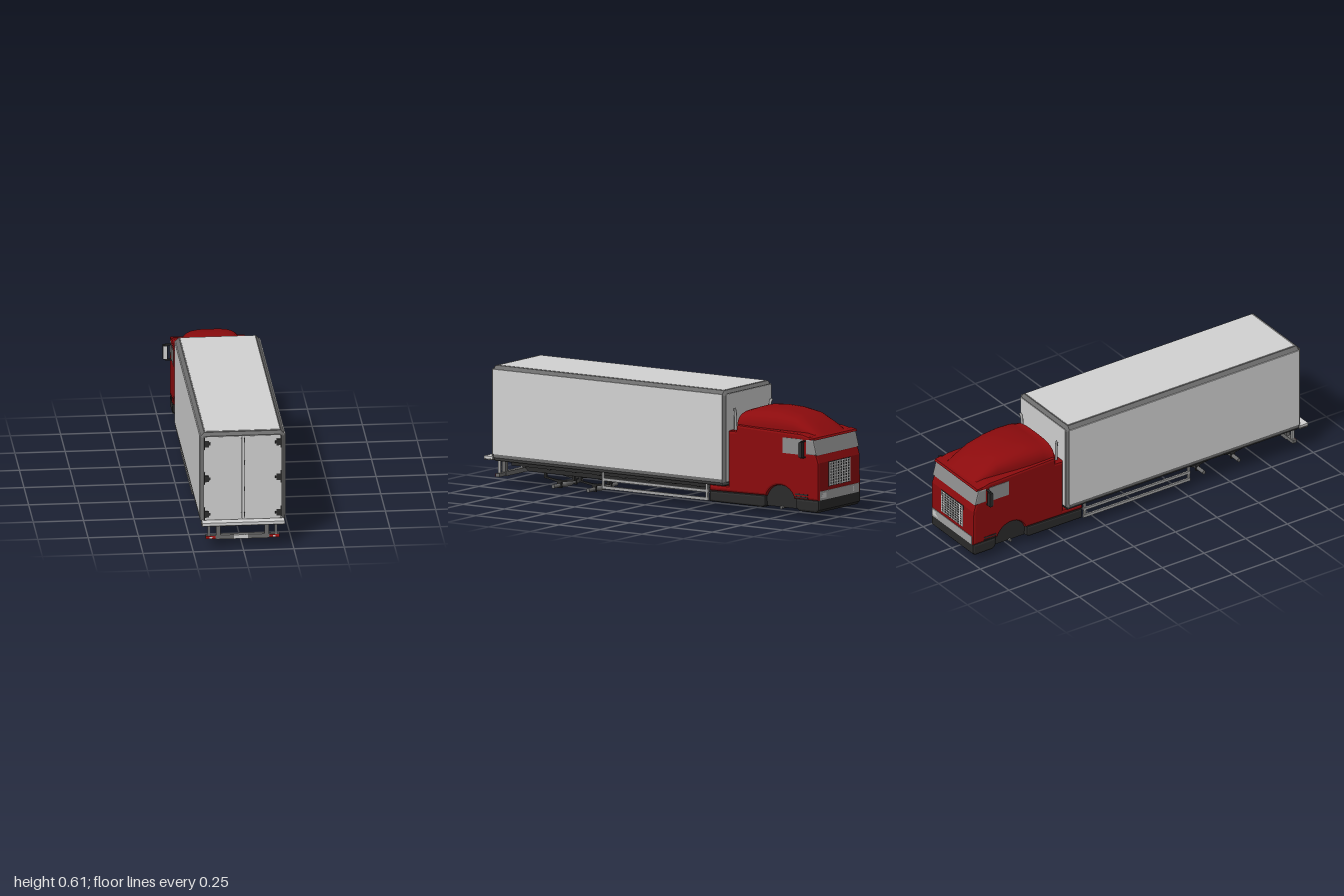
import * as THREE from 'three';

const mat = (name, color, side = THREE.FrontSide) => {
  const m = new THREE.MeshStandardMaterial({ color, side });
  m.name = name;
  return m;
};

export function createModel() {
  const red = mat('cab red', 0x8c0b0d, THREE.DoubleSide);
  const panel = mat('panel light grey', 0xd2d2d2);
  const frame = mat('frame grey', 0x6c6c6c);
  const dark = mat('chassis black', 0x2b2b2b);
  const glass = mat('glass grey', 0x8c8c8c);
  const metal = mat('metal grey', 0xa4a4a4);
  const lamp = mat('lamp red', 0xa81414);

  const model = new THREE.Group();
  model.name = 'boxTruck';

  const add = (name, geo, material) => {
    const m = new THREE.Mesh(geo, material);
    m.name = name;
    model.add(m);
    return m;
  };
  // Box given by its limits on each axis
  const box = (name, material, [x0, x1], [y0, y1], [z0, z1]) => {
    const g = new THREE.BoxGeometry(x1 - x0, y1 - y0, z1 - z0);
    return add(name, g.translate((x0 + x1) / 2, (y0 + y1) / 2, (z0 + z1) / 2), material);
  };
  // The same box on both sides of the centre line
  const pair = (name, material, [x0, x1], y, z) => {
    box(name + 'Left', material, [x0, x1], y, z);
    box(name + 'Right', material, [-x1, -x0], y, z);
  };
  // Side profile (z, y) extruded across the width, with bevelled flanks
  const slab = (name, material, shape, half, bevel) => {
    const g = new THREE.ExtrudeGeometry(shape, {
      depth: 2 * (half - bevel), curveSegments: 20, bevelEnabled: bevel > 0,
      bevelSize: bevel, bevelThickness: bevel, bevelOffset: -bevel, bevelSegments: 2,
    });
    return add(name, g.translate(0, 0, bevel - half).rotateY(-Math.PI / 2), material);
  };
  const poly = (pts) => new THREE.Shape(pts.map(([a, b]) => new THREE.Vector2(a, b)));
  const rodX = (name, material, r, x0, x1, y, z) =>
    add(name, new THREE.CylinderGeometry(r, r, x1 - x0, 12).rotateZ(Math.PI / 2)
      .translate((x0 + x1) / 2, y, z), material);

  // ---- Cargo box: chamfered frame with inset-looking panels
  const section = poly([[-0.197, 0.13], [0.197, 0.13], [0.211, 0.145], [0.211, 0.585],
    [0.191, 0.605], [-0.191, 0.605], [-0.211, 0.585], [-0.211, 0.145]]);
  const c = 0.015;
  add('cargoFrame', new THREE.ExtrudeGeometry(section, {
    depth: 1.405 - 2 * c, bevelEnabled: true, bevelSize: c, bevelThickness: c, bevelOffset: -c, bevelSegments: 1,
  }).translate(0, 0, -0.45 + c), frame);
  pair('cargoSidePanel', panel, [0.208, 0.213], [0.162, 0.588], [-0.438, 0.943]);
  box('roofPanel', panel, [-0.185, 0.185], [0.602, 0.607], [-0.43, 0.928]);
  box('cargoNosePanel', panel, [-0.195, 0.195], [0.152, 0.588], [-0.453, -0.448]);

  // ---- Rear doors, lock rods and hinges
  pair('rearDoor', panel, [0.001, 0.196], [0.15, 0.586], [0.952, 0.957]);
  pair('doorSeam', dark, [0.0065, 0.0085], [0.155, 0.584], [0.956, 0.959]);
  pair('doorEdge', dark, [0.192, 0.1935], [0.16, 0.584], [0.956, 0.958]);
  for (const y of [0.18, 0.367, 0.55]) {
    pair('hingeLeaf', dark, [0.168, 0.188], [y - 0.017, y + 0.017], [0.956, 0.96]);
    pair('hingePin', dark, [0.188, 0.192], [y - 0.03, y + 0.035], [0.956, 0.961]);
    pair('hingeTongue', dark, [0.161, 0.168], [y - 0.007, y + 0.007], [0.956, 0.96]);
  }
  for (const y of [0.175, 0.31, 0.445, 0.565])
    pair('rodBracket', dark, [0.006, 0.01], [y - 0.011, y + 0.011], [0.956, 0.961]);

  // ---- Rear step and underrun bumper
  box('rearStep', panel, [-0.205, 0.205], [0.135, 0.148], [0.95, 1]);
  box('rearStepEdge', frame, [-0.207, 0.207], [0.13, 0.136], [0.948, 0.998]);
  box('rearBumper', frame, [-0.13, 0.13], [0.042, 0.064], [0.92, 0.945]);
  pair('bumperEnd', frame, [0.13, 0.184], [0.044, 0.062], [0.922, 0.943]);
  pair('bumperPost', frame, [0.11, 0.131], [0.06, 0.132], [0.922, 0.943]);
  pair('bumperStay', metal, [0.161, 0.172], [0.06, 0.132], [0.925, 0.94]);
  pair('tailLamp', lamp, [0.134, 0.182], [0.046, 0.06], [0.942, 0.947]);
  pair('lampLens', panel, [0.15, 0.164], [0.05, 0.056], [0.946, 0.949]);
  box('rearPlate', panel, [-0.044, 0.027], [0.044, 0.064], [0.944, 0.949]);

  // ---- Chassis rails and floor
  const rail = poly([[-0.6, 0.07], [-0.6, 0.135], [0.89, 0.135], [0.82, 0.07]]);
  for (const x of [-0.07, 0.07]) slab('chassisRail', dark, rail, 0.012, 0).position.x = x;
  box('floor', dark, [-0.195, 0.195], [0.127, 0.131], [-0.44, 0.94]);
  pair('outerRail', dark, [0.14, 0.155], [0.105, 0.13], [-0.55, 0.87]);
  for (let i = 0; i < 9; i++) {
    const z = -0.4 + i * 0.15;
    box('crossMember', dark, [-0.15, 0.15], [0.1, 0.13], [z - 0.008, z + 0.008]);
  }

  // ---- Two rear axles with springs and hangers
  for (const z of [0.43, 0.64]) {
    rodX('axleTube', frame, 0.01, -0.125, 0.125, 0.015, z);
    rodX('differential', frame, 0.015, -0.03, 0.03, 0.015, z);
    for (const s of [-1, 1]) {
      const cone = new THREE.CylinderGeometry(0.01, 0.015, 0.016, 12).rotateZ(-s * Math.PI / 2);
      add('differentialTaper', cone.translate(s * 0.038, 0.015, z), frame);
      const spring = poly([[z - 0.09, 0.052], [z - 0.09, 0.044], [z - 0.02, 0.032],
        [z + 0.02, 0.032], [z + 0.09, 0.044], [z + 0.09, 0.052], [z, 0.04]]);
      slab('leafSpring', dark, spring, 0.005, 0).position.x = s * 0.067;
      for (const e of [-0.085, 0.085])
        box('springHanger', dark, [s * 0.067 - 0.006, s * 0.067 + 0.006], [0.045, 0.13], [z + e - 0.007, z + e + 0.007]);
      box('axleClamp', dark, [s * 0.067 - 0.005, s * 0.067 + 0.005], [0.002, 0.042], [z - 0.012, z + 0.012]);
    }
  }

  // ---- Side guards
  for (const [y0, y1] of [[0.045, 0.06], [0.086, 0.1]])
    pair('guardRail', metal, [0.183, 0.193], [y0, y1], [-0.34, 0.3]);
  for (const z of [-0.33, 0.295])
    pair('guardPost', metal, [0.18, 0.191], [0.045, 0.135], [z - 0.006, z + 0.006]);

  // ---- Cab shell with wheel arch
  const cab = poly([[-0.34, 0.095], [-0.34, 0.126], [-0.455, 0.126], [-0.455, 0.405], [-0.5, 0.407],
    [-0.505, 0.44], [-0.9, 0.428], [-0.962, 0.412], [-0.985, 0.322], [-0.996, 0.29], [-0.998, 0.1], [-0.85, 0.1]]);
  const a = Math.asin(1 / 3);
  cab.absarc(-0.765, 0.07, 0.09, Math.PI - a, a, true);
  slab('cabShell', red, cab, 0.185, 0.012);

  // Wheel well filling and dark lower skirt
  const well = new THREE.Shape();
  well.absarc(-0.765, 0.07, 0.092, 0, Math.PI, false);
  slab('wheelWell', dark, well, 0.165, 0);
  slab('cabUnderbody', dark, poly([[-0.36, 0.048], [-0.36, 0.11], [-0.98, 0.11], [-0.98, 0.048]]), 0.16, 0);
  slab('rearSkirt', dark, poly([[-0.34, 0.04], [-0.34, 0.094], [-0.675, 0.1], [-0.675, 0.05], [-0.66, 0.04]]), 0.182, 0.01);
  slab('frontBumper', dark, poly([[-0.86, 0.055], [-0.855, 0.104], [-0.999, 0.104], [-0.999, 0.055],
    [-0.985, 0.04], [-0.88, 0.04]]), 0.184, 0.012);
  rodX('frontAxle', frame, 0.008, -0.172, 0.172, 0.048, -0.765);

  // ---- Roof fairing: rounded arches lofted along z [z, halfWidth, baseY, topY]
  const arches = [[-0.5, 0.17, 0.42, 0.5], [-0.56, 0.171, 0.42, 0.519], [-0.64, 0.168, 0.42, 0.524],
    [-0.72, 0.16, 0.42, 0.521], [-0.82, 0.145, 0.42, 0.505], [-0.9, 0.135, 0.415, 0.461], [-0.96, 0.125, 0.405, 0.415]];
  const n = 20, pos = [], idx = [];
  const power = (v, e) => Math.sign(v) * Math.abs(v) ** e;
  arches.forEach(([z, w, y0, y1], r) => {
    for (let i = 0; i <= n; i++) {
      const t = Math.PI * i / n;
      pos.push(w * power(Math.cos(t), 0.6), y0 + (y1 - y0) * power(Math.sin(t), 0.7), z);
      if (r && i) {
        const p = r * (n + 1) + i, q = p - n - 1;
        idx.push(q - 1, p - 1, q, q, p - 1, p);
      }
    }
  });
  for (let i = 1; i < n; i++) idx.push(0, i, i + 1);
  // Make the loft face outwards
  for (let i = 0; i < idx.length - 3 * (n - 1); i += 3) [idx[i + 1], idx[i + 2]] = [idx[i + 2], idx[i + 1]];
  const loft = new THREE.BufferGeometry();
  loft.setAttribute('position', new THREE.Float32BufferAttribute(pos, 3));
  loft.setIndex(idx);
  loft.computeVertexNormals();
  add('roofFairing', loft, red);

  // ---- Windscreen wrapping the corners, visor and side windows
  slab('windscreen', glass, poly([[-0.92, 0.328], [-0.92, 0.405], [-0.968, 0.405], [-0.988, 0.328]]), 0.187, 0.007);
  slab('sunVisor', red, poly([[-0.94, 0.406], [-0.94, 0.42], [-0.972, 0.414], [-0.978, 0.404]]), 0.186, 0.004);
  pair('sideWindow', glass, [0.182, 0.187], [0.325, 0.403], [-0.903, -0.785]);

  // ---- Cab front: grille, lamp strip, steps
  slab('grilleBack', dark, poly([[-0.993, 0.165], [-0.993, 0.288], [-0.9985, 0.288], [-0.9985, 0.165]]), 0.095, 0);
  for (let i = 0; i < 9; i++) {
    const x = -0.088 + i * 0.022, y = 0.172 + i * 0.0138;
    box('grilleBar', panel, [x - 0.004, x + 0.004], [0.167, 0.286], [-1, -0.997]);
    box('grilleSlat', panel, [-0.093, 0.093], [y - 0.002, y + 0.002], [-1, -0.997]);
  }
  box('bumperStrip', metal, [-0.172, 0.172], [0.103, 0.148], [-1, -0.994]);
  pair('headLamp', panel, [0.115, 0.168], [0.113, 0.138], [-1, -0.9985]);
  for (const y of [0.108, 0.122]) pair('cabStep', dark, [0.182, 0.187], [y, y + 0.007], [-0.935, -0.86]);

  // ---- Mirrors on arms and exhaust stacks
  pair('mirrorHousing', dark, [0.205, 0.227], [0.318, 0.394], [-0.925, -0.908]);
  pair('mirrorFace', panel, [0.207, 0.227], [0.323, 0.389], [-0.909, -0.904]);
  for (const y of [0.312, 0.392]) pair('mirrorArm', dark, [0.178, 0.216], [y, y + 0.006], [-0.92, -0.91]);
  for (const s of [-1, 1]) {
    const path = new THREE.CatmullRomCurve3([[0.15, 0.13, -0.475], [0.15, 0.3, -0.475], [0.15, 0.48, -0.475],
      [0.153, 0.505, -0.475], [0.165, 0.52, -0.475]].map(([x, y, z]) => new THREE.Vector3(s * x, y, z)));
    add('exhaustStack', new THREE.TubeGeometry(path, 24, 0.007, 10), metal);
  }
  return model;
}
